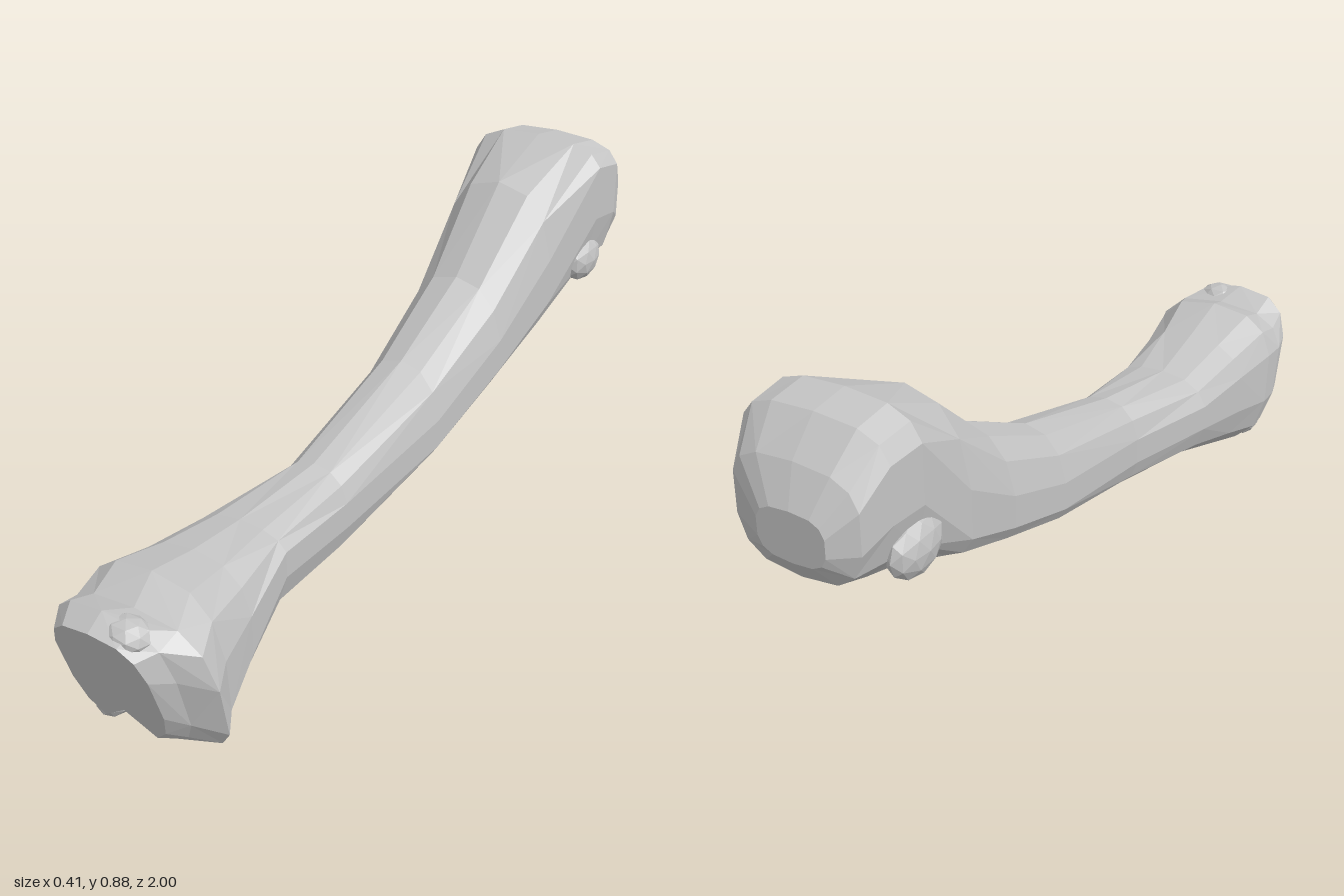
import * as THREE from 'three';

const SEG = 14;

// Cross-sections: z, top y, bottom y, least x, greatest x, y of the widest point on each side
const sections = [
  // lower joint
  [0.945, 0.355, 0.03, -0.16, 0.09, 0.22, 0.2],
  [0.9, 0.385, 0.01, -0.19, 0.12, 0.22, 0.15],
  [0.85, 0.36, 0, -0.205, 0.185, 0.225, 0.11],
  [0.78, 0.395, 0, -0.21, 0.15, 0.225, 0.13],
  [0.65, 0.365, 0.035, -0.19, 0.12, 0.23, 0.19],
  // shaft
  [0.47, 0.34, 0.1, -0.175, 0.085, 0.24, 0.28],
  [0.22, 0.37, 0.125, -0.11, 0.08, 0.24, 0.26],
  [-0.15, 0.48, 0.22, -0.12, 0.105, 0.3, 0.29],
  [-0.4, 0.61, 0.31, -0.14, 0.135, 0.4, 0.41],
  [-0.6, 0.8, 0.39, -0.16, 0.162, 0.5, 0.54],
  // upper head
  [-0.78, 0.875, 0.465, -0.172, 0.2, 0.76, 0.79],
  [-0.87, 0.86, 0.49, -0.16, 0.205, 0.75, 0.77],
  [-0.95, 0.79, 0.52, -0.14, 0.175, 0.68, 0.68],
  [-1, 0.71, 0.59, -0.09, 0.08, 0.65, 0.65],
];

// One ring of points, counter-clockwise from the front, starting under the bone
function ring([z, top, bottom, x0, x1, y0, y1]) {
  const lean = Math.max(0, (z - 0.73) * 1.6); // the lower joint leans forward
  const groove = lean * 0.2; // and is grooved underneath
  const power = 0.85 - 0.18 * Math.min(1, Math.max(0, Math.abs(z) - 0.5) / 0.35); // boxier ends
  return Array.from({ length: SEG }, (_, j) => {
    const a = -Math.PI / 2 + (j / SEG) * Math.PI * 2;
    const c = Math.sign(Math.cos(a)) * Math.abs(Math.cos(a)) ** power;
    const v = Math.abs(Math.sin(a)) ** power;
    const wide = c > 0 ? y1 : y0;
    const y = THREE.MathUtils.lerp(wide, Math.sin(a) > 0 ? top : bottom, v) + (j === 0 ? groove : 0);
    return new THREE.Vector3((x0 + x1) / 2 + ((x1 - x0) / 2) * c, y, z + lean * (y - 0.2));
  });
}

function loft(rings) {
  const pos = [];
  const tri = (...vs) => vs.forEach((v) => pos.push(v.x, v.y, v.z));
  const centre = (r) => r.reduce((m, v) => m.add(v), new THREE.Vector3()).divideScalar(SEG);
  const front = rings[0], back = rings[rings.length - 1];
  const cf = centre(front), cb = centre(back);
  for (let j = 0; j < SEG; j++) {
    const k = (j + 1) % SEG;
    for (let i = 0; i < rings.length - 1; i++) {
      const a = rings[i][j], b = rings[i][k], c = rings[i + 1][j], d = rings[i + 1][k];
      // alternate the diagonals for an irregular faceted surface
      if ((i + j) % 2) { tri(a, c, b); tri(b, c, d); }
      else { tri(a, c, d); tri(a, d, b); }
    }
    // end caps
    tri(cf, front[j], front[k]);
    tri(cb, back[k], back[j]);
  }
  const g = new THREE.BufferGeometry();
  g.setAttribute('position', new THREE.Float32BufferAttribute(pos, 3));
  g.computeVertexNormals();
  return g;
}

export function createModel() {
  const model = new THREE.Group();
  model.name = 'longBone';
  const bone = new THREE.MeshStandardMaterial({ color: 0xc4c4c4, flatShading: true });
  bone.name = 'boneGrey';

  const add = (name, geometry) => {
    const m = new THREE.Mesh(geometry, bone);
    m.name = name;
    model.add(m);
    return m;
  };

  // shaft with both joint ends
  add('boneShaft', loft(sections.map(ring)));

  // faceted knobs on the joints
  const knob = (name, x, y, z, rx, ry, rz) => {
    const m = add(name, new THREE.IcosahedronGeometry(1, 1));
    m.position.set(x, y, z);
    m.scale.set(rx, ry, rz);
  };
  knob('leftHeadKnob', 0.163, 0.565, -0.77, 0.04, 0.06, 0.075);
  knob('rightHeadKnob', -0.145, 0.56, -0.79, 0.04, 0.07, 0.085);
  knob('frontLip', 0.02, 0.34, 0.94, 0.06, 0.04, 0.05);
  knob('rightCondyle', -0.125, 0.055, 0.83, 0.04, 0.055, 0.06);

  return model;
}
